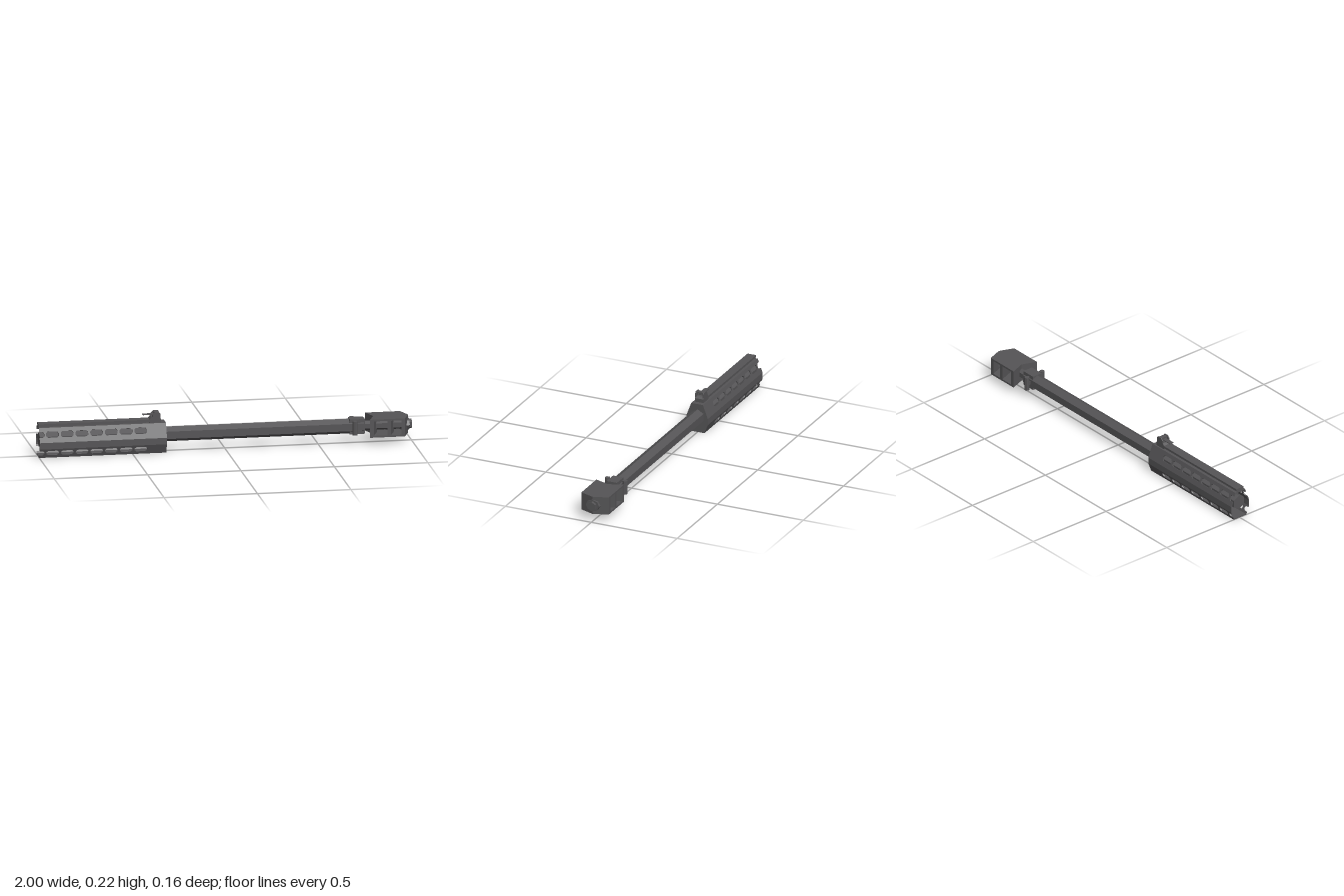
import * as THREE from 'three';

const gunmetal = new THREE.MeshStandardMaterial({ color: 0x555456, flatShading: true });
gunmetal.name = 'gunmetal';

const AXIS_Y = 0.09; // height of the bore line

function add(parent, name, geometry, x = 0, y = 0, z = 0) {
  const mesh = new THREE.Mesh(geometry, gunmetal);
  mesh.name = name;
  mesh.position.set(x, y, z);
  parent.add(mesh);
  return mesh;
}

const shapeOf = (points) => new THREE.Shape(points.map((p) => new THREE.Vector2(p[0], p[1])));
const extrude = (shape, depth) => new THREE.ExtrudeGeometry(shape, { depth, bevelEnabled: false });

// Box given by its limits
function box(parent, name, x0, x1, y0, y1, z0, z1) {
  return add(parent, name, new THREE.BoxGeometry(x1 - x0, y1 - y0, z1 - z0),
    (x0 + x1) / 2, (y0 + y1) / 2, (z0 + z1) / 2);
}

// Prism along x with a corner pointing up
function prism(parent, name, x0, x1, radius, sides, depthScale = 1) {
  const g = new THREE.CylinderGeometry(radius, radius, x1 - x0, sides);
  g.rotateZ(Math.PI / 2).rotateX(sides === 6 ? Math.PI / 2 : 0);
  // put a corner at the top
  const top = new THREE.Vector3().fromBufferAttribute(g.attributes.position, 0);
  g.rotateX(Math.atan2(top.y, top.z) - Math.PI / 2);
  g.scale(1, 1, depthScale);
  return add(parent, name, g, (x0 + x1) / 2, AXIS_Y, 0);
}

// Flat wall of the handguard from a to b (z, y), optionally pierced by slots
function wall(parent, name, a, b, x0, x1, slot) {
  const t = 0.006;
  const length = Math.hypot(b[0] - a[0], b[1] - a[1]);
  const pts = [[x0, 0], [x1, 0], [x1, length], [x0, length]];
  const holes = [];
  if (slot) {
    const [v0, v1] = slot, c = 0.009, half = 0.034;
    // half slot left open at the rear end
    const e = x0 + 0.026;
    pts.push([x0, v1], [e - c, v1], [e, v1 - c], [e, v0 + c], [e - c, v0], [x0, v0]);
    for (let i = 0; i < 7; i++) {
      const m = -0.458 - i * 0.0787, l = m - half, r = m + half;
      holes.push(new THREE.Path([
        [l + c, v0], [l, v0 + c], [l, v1 - c], [l + c, v1],
        [r - c, v1], [r, v1 - c], [r, v0 + c], [r - c, v0],
      ].map((p) => new THREE.Vector2(p[0], p[1]))));
    }
  }
  const shape = shapeOf(pts);
  shape.holes = holes;
  const g = extrude(shape, t);
  g.translate(0, 0, -t);
  const dz = (b[0] - a[0]) / length, dy = (b[1] - a[1]) / length;
  g.applyMatrix4(new THREE.Matrix4().makeBasis(
    new THREE.Vector3(1, 0, 0), new THREE.Vector3(0, dy, dz), new THREE.Vector3(0, -dz, dy)));
  add(parent, name, g, 0, a[1], a[0]);
}

function makeHandguard() {
  const guard = new THREE.Group();
  guard.name = 'handguard';
  guard.position.z = 0.003;
  // Cross-section in (z, y)
  const half = [[0.0425, 0], [0.0625, 0.05], [0.0625, 0.085], [0.034, 0.16]];
  const ring = [...half, ...half.map(([z, y]) => [-z, y]).reverse()];
  const low = [0.016, 0.043], high = [0.027, 0.06];
  const upperLength = Math.hypot(0.0285, 0.075);
  const slots = [low, null, high, null,
    [upperLength - high[1], upperLength - high[0]], null,
    [0.0539 - low[1], 0.0539 - low[0]], null];
  ring.forEach((a, i) => {
    wall(guard, slots[i] ? 'slottedWall' : 'plainWall', a, ring[(i + 1) % 8], -1, -0.4, slots[i]);
  });
  // Solid front end
  const cap = extrude(shapeOf(ring), 0.08);
  cap.rotateY(Math.PI / 2);
  add(guard, 'handguardCap', cap, -0.4, 0, 0);
  // Top rail on a narrower neck
  box(guard, 'railNeck', -1, -0.4, 0.158, 0.167, -0.016, 0.016);
  box(guard, 'topRail', -1, -0.4, 0.166, 0.178, -0.025, 0.025);
  return guard;
}

function makeSight() {
  const sight = new THREE.Group();
  sight.name = 'sight';
  sight.position.z = 0.002;
  // Sloped base and the two ears
  const side = (name, pts, z, w) => add(sight, name, extrude(shapeOf(pts), w), 0, 0, z - w / 2);
  side('sightBase', [[-0.405, 0.158], [-0.345, 0.158], [-0.345, 0.18], [-0.355, 0.191], [-0.395, 0.191], [-0.405, 0.18]], 0, 0.05);
  for (const s of [-1, 1]) {
    side('sightEar', [[-0.392, 0.185], [-0.347, 0.185], [-0.347, 0.207], [-0.355, 0.216], [-0.38, 0.216], [-0.392, 0.203]], s * 0.022, 0.006);
  }
  box(sight, 'upperCrossbar', -0.378, -0.355, 0.204, 0.213, -0.021, 0.021);
  box(sight, 'lowerCrossbar', -0.378, -0.36, 0.196, 0.201, -0.021, 0.021);
  box(sight, 'sightLeaf', -0.44, -0.37, 0.2, 0.204, -0.012, 0.012);
  return sight;
}

function makeCollar() {
  const collar = new THREE.Group();
  collar.name = 'barrelCollar';
  box(collar, 'collarBlock', 0.665, 0.745, 0.052, 0.132, -0.03, 0.03);
  box(collar, 'crossPin', 0.681, 0.697, 0.08, 0.1, -0.055, 0.055);
  for (const s of [-1, 1]) {
    add(collar, 'collarKnob', new THREE.CylinderGeometry(0.014, 0.014, 0.075, 8), 0.689, AXIS_Y, s * 0.051);
  }
  return collar;
}

function makeMuzzleBrake() {
  const brake = new THREE.Group();
  brake.name = 'muzzleBrake';
  // Swept plate, its middle pushed forward
  const chevron = (name, x0, x1, y0, y1) => {
    const w = 0.08, k = 0.03;
    const g = extrude(shapeOf([[x0, -w], [x1, -w], [x1 + k, 0], [x1, w], [x0, w], [x0 + k, 0]]), y1 - y0);
    g.rotateX(-Math.PI / 2);
    add(brake, name, g, 0, y0, 0);
  };
  chevron('bottomPlate', 0.765, 0.952, 0.041, 0.051);
  chevron('topPlate', 0.765, 0.952, 0.129, 0.139);
  for (const x of [0.765, 0.857, 0.932]) chevron('baffle', x, x + 0.02, 0.05, 0.13);
  prism(brake, 'muzzleRing', 0.95, 0.985, 0.033, 8, 1.18);
  prism(brake, 'muzzleTip', 0.74, 1, 0.026, 6);
  return brake;
}

export function createModel() {
  const model = new THREE.Group();
  model.name = 'barrelAssembly';
  prism(model, 'barrel', -0.995, 0.74, 0.04, 6);
  model.add(makeHandguard(), makeSight(), makeCollar(), makeMuzzleBrake());
  return model;
}
